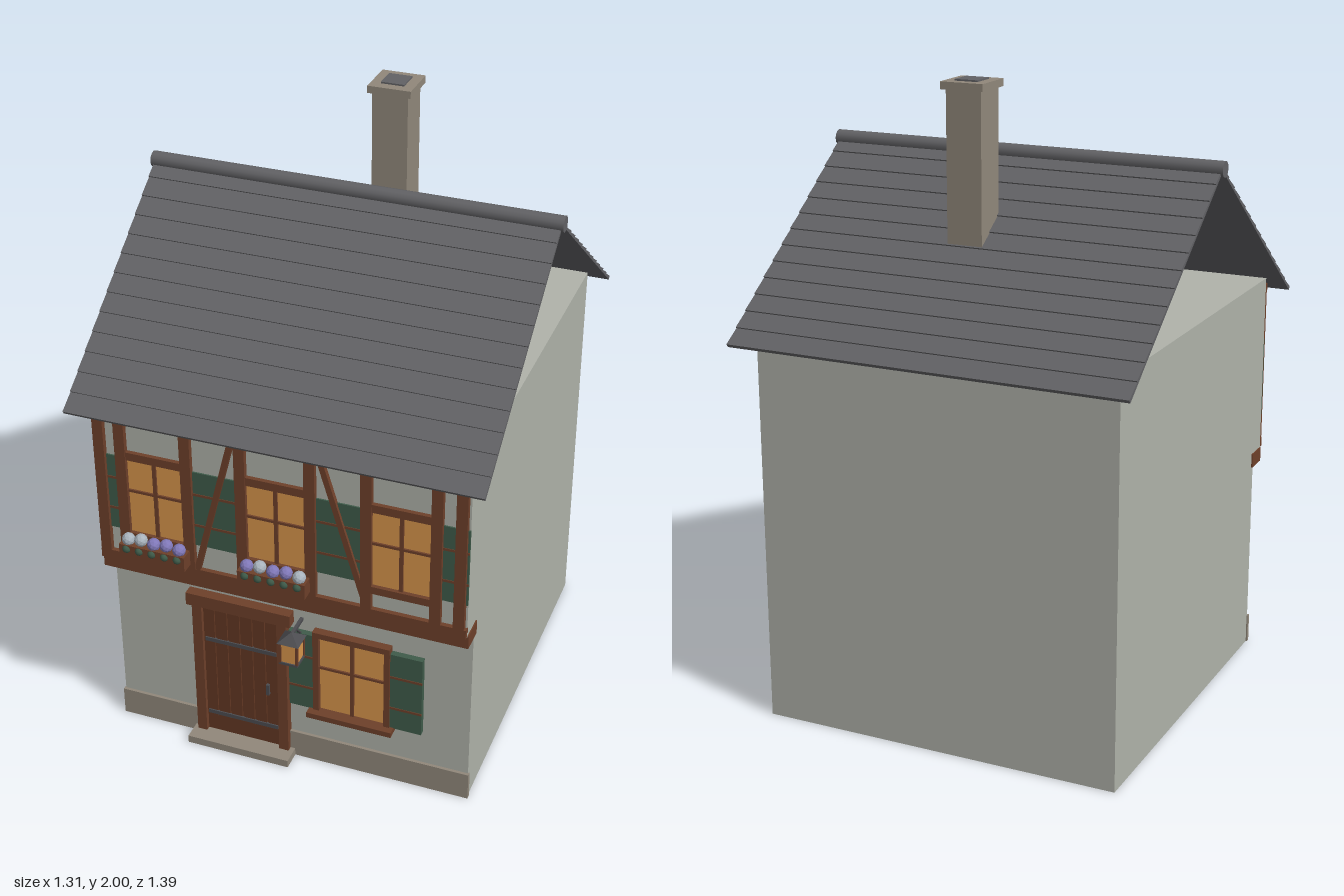
import * as THREE from 'three';

const mat = (name, color, opts = {}) => {
  const m = new THREE.MeshStandardMaterial({ color, ...opts });
  m.name = name;
  return m;
};

export function createModel() {
  const plaster = mat('plaster', 0xb0b3aa);
  const stone = mat('stone', 0x91887b);
  const timber = mat('timber', 0x6e402a);
  const doorWood = mat('door wood', 0x633823);
  const slate = mat('slate', 0x626265);
  const green = mat('shutter green', 0x3f5b4a);
  const glow = mat('lit glass', 0xd8964c);
  const iron = mat('iron', 0x4c4c50);
  const violet = mat('violet petals', 0x8078b8, { flatShading: true });
  const pale = mat('pale petals', 0xa9b3bd, { flatShading: true });

  const house = new THREE.Group();
  house.name = 'house';

  const add = (parent, name, geometry, material) => {
    const mesh = new THREE.Mesh(geometry, material);
    mesh.name = name;
    parent.add(mesh);
    return mesh;
  };
  const group = (name) => {
    const g = new THREE.Group();
    g.name = name;
    house.add(g);
    return g;
  };
  // Box given by its extents
  const box = (parent, name, m, x0, x1, y0, y1, z0, z1) => {
    const mesh = add(parent, name, new THREE.BoxGeometry(x1 - x0, y1 - y0, z1 - z0), m);
    mesh.position.set((x0 + x1) / 2, (y0 + y1) / 2, (z0 + z1) / 2);
    return mesh;
  };
  // Side profile of (z, y) points drawn out along x, centred
  const sideProfile = (points, width) => {
    const shape = new THREE.Shape(points.map(([z, y]) => new THREE.Vector2(z, y)));
    const g = new THREE.ExtrudeGeometry(shape, { depth: width, bevelEnabled: false });
    return g.translate(0, 0, -width / 2).rotateY(-Math.PI / 2);
  };

  const FRONT = 0.55, UPPER = 0.62, HALF = 0.588;

  // Walls with the overhanging upper floor
  add(house, 'walls', sideProfile([[-0.62, 0], [FRONT, 0], [FRONT, 0.68],
    [UPPER, 0.68], [UPPER, 1.27], [-0.62, 1.27]], HALF * 2), plaster);
  box(house, 'plinth', stone, -0.592, 0.592, 0, 0.095, FRONT - 0.005, 0.56);

  // Roof: two slopes with stepped slate courses
  const roof = group('roof');
  const ridge = 1.742, run = 0.692, drop = 0.517, rows = 13;
  const len = Math.hypot(run, drop);
  const onSlope = (s, n) => [s * run + n * drop / len, ridge - s * drop + n * run / len];
  const outline = [onSlope(0, -0.005), onSlope(1, -0.005)];
  for (let i = rows; i > 0; i--) {
    outline.push(onSlope(i / rows, 0.008), onSlope((i - 1) / rows, 0.003));
  }
  const slope = sideProfile(outline, 1.29);
  add(roof, 'frontSlope', slope, slate);
  add(roof, 'backSlope', slope, slate).rotation.y = Math.PI;
  const cap = add(roof, 'ridgeCap', new THREE.CylinderGeometry(0.025, 0.025, 1.306, 12), slate);
  cap.rotation.z = Math.PI / 2;
  cap.position.y = ridge;

  // Chimney
  const chimney = group('chimney');
  box(chimney, 'stack', stone, -0.015, 0.099, 1.27, 1.975, -0.32, -0.206);
  box(chimney, 'chimneyCap', stone, -0.027, 0.111, 1.972, 1.995, -0.333, -0.195);
  box(chimney, 'flue', slate, 0.005, 0.079, 1.993, 2.0, -0.302, -0.227);

  // Timber frame
  const frame = group('timberFrame');
  box(frame, 'jettyBeam', timber, -0.592, 0.592, 0.637, 0.684, 0.535, 0.617);
  box(frame, 'sillBeam', timber, -0.588, 0.588, 0.684, 0.716, 0.615, 0.635);
  box(frame, 'topBeam', timber, -0.588, 0.588, 1.22, 1.25, 0.615, 0.635);
  for (const x of [-0.569, -0.5, -0.288, -0.114, 0.104, 0.278, 0.492, 0.565]) {
    box(frame, 'post', timber, x - 0.017, x + 0.017, 0.716, 1.25, 0.615, 0.637);
  }
  const brace = (x0, x1) => {
    const y0 = 0.716, y1 = 1.22;
    const m = add(frame, 'brace',
      new THREE.BoxGeometry(0.018, Math.hypot(x1 - x0, y1 - y0), 0.016), timber);
    m.position.set((x0 + x1) / 2, (y0 + y1) / 2, 0.627);
    m.rotation.z = -Math.atan2(x1 - x0, y1 - y0);
  };
  brace(-0.265, -0.135);
  brace(0.28, 0.13);

  // Lit panes with a cross of glazing bars
  const panes = (g, x0, x1, y0, y1, crossY, z) => {
    const cx = (x0 + x1) / 2, b = 0.006;
    box(g, 'glass', glow, x0, x1, y0, y1, z - 0.002, z + 0.004);
    box(g, 'mullion', timber, cx - b, cx + b, y0, y1, z, z + 0.01);
    box(g, 'transom', timber, x0, x1, crossY - b * 0.7, crossY + b * 0.7, z, z + 0.01);
  };
  const shutter = (g, x0, x1, y0, y1, z, depth) => {
    box(g, 'shutter', green, x0, x1, y0, y1, z - 0.002, z + depth);
    for (const t of [0.28, 0.7]) {
      const y = y0 + (y1 - y0) * t;
      box(g, 'batten', timber, x0, x1, y - 0.004, y + 0.004, z + depth - 0.002, z + depth + 0.002);
    }
  };

  // Upper windows between the posts
  for (const [x0, x1] of [[-0.483, -0.305], [-0.097, 0.087], [0.295, 0.475]]) {
    const w = group('upperWindow');
    panes(w, x0, x1, 0.8, 1.065, 0.95, UPPER);
    box(w, 'header', timber, x0, x1, 1.061, 1.088, UPPER - 0.005, 0.634);
    box(w, 'sill', timber, x0, x1, 0.775, 0.8, UPPER - 0.005, 0.637);
  }
  const shutters = group('upperShutters');
  for (const [x0, x1] of [[-0.588, -0.517], [-0.271, -0.131], [0.121, 0.261], [0.509, 0.588]]) {
    shutter(shutters, x0, x1, 0.8, 1.062, UPPER, 0.005);
  }

  // Flower boxes: blossoms above, leaves hanging over the front
  const blossom = new THREE.IcosahedronGeometry(0.021, 1);
  const leaf = new THREE.IcosahedronGeometry(0.014, 1);
  const flowerBox = (cx, petals) => {
    const g = group('flowerBox');
    box(g, 'trough', timber, cx - 0.108, cx + 0.108, 0.73, 0.782, 0.63, 0.68);
    petals.forEach((petal, i) => {
      const x = cx + (i - 2) * 0.042;
      add(g, 'blossom', blossom, petal).position.set(x, 0.793 + (i % 2) * 0.006, 0.66);
      add(g, 'leaf', leaf, green).position.set(x, 0.768, 0.676);
    });
  };
  flowerBox(-0.394, [pale, pale, violet, violet, violet]);
  flowerBox(-0.005, [violet, pale, violet, violet, pale]);

  // Door
  const door = group('door');
  const d0 = -0.288, d1 = -0.034, n = 6, pw = (d1 - d0) / n;
  box(door, 'doorBack', doorWood, d0, d1, 0.025, 0.53, FRONT - 0.005, 0.562);
  for (let i = 0; i < n; i++) {
    const x = d0 + i * pw;
    box(door, 'plank', doorWood, x + 0.003, x + pw - 0.003, 0.09, 0.525, 0.56, 0.568);
  }
  for (const y of [0.4, 0.105]) {
    box(door, 'strapHinge', iron, -0.28, -0.04, y - 0.007, y + 0.007, 0.565, 0.572);
  }
  box(door, 'handle', iron, -0.075, -0.065, 0.235, 0.275, 0.565, 0.578);
  box(door, 'leftJamb', timber, -0.035, -0.003, 0.025, 0.535, FRONT - 0.005, 0.578);
  box(door, 'rightJamb', timber, -0.319, -0.287, 0.025, 0.535, FRONT - 0.005, 0.578);
  box(door, 'lintel', timber, -0.335, 0.013, 0.53, 0.574, FRONT - 0.005, 0.585);
  box(door, 'step', stone, -0.333, 0.013, 0, 0.026, FRONT, 0.625);

  // Ground floor window
  const low = group('lowerWindow');
  panes(low, 0.1, 0.318, 0.22, 0.51, 0.387, 0.556);
  box(low, 'leftFrame', timber, 0.316, 0.335, 0.22, 0.528, FRONT - 0.005, 0.575);
  box(low, 'rightFrame', timber, 0.083, 0.102, 0.22, 0.528, FRONT - 0.005, 0.575);
  box(low, 'header', timber, 0.083, 0.335, 0.508, 0.528, FRONT - 0.005, 0.577);
  box(low, 'sill', timber, 0.068, 0.348, 0.203, 0.222, FRONT - 0.005, 0.597);
  shutter(low, 0.002, 0.083, 0.22, 0.508, FRONT, 0.02);
  shutter(low, 0.335, 0.438, 0.22, 0.508, FRONT, 0.02);

  // Hanging lantern on a wall bracket
  const lamp = group('lantern');
  const lx = 0.04, lz = 0.635;
  box(lamp, 'lampGlass', glow, lx - 0.027, lx + 0.027, 0.46, 0.532, lz - 0.027, lz + 0.027);
  box(lamp, 'lampBase', iron, lx - 0.031, lx + 0.031, 0.453, 0.461, lz - 0.031, lz + 0.031);
  for (const sx of [-1, 1]) for (const sz of [-1, 1]) {
    const x = lx + sx * 0.027, z = lz + sz * 0.027;
    box(lamp, 'lampCorner', timber, x - 0.004, x + 0.004, 0.458, 0.535, z - 0.004, z + 0.004);
  }
  const hood = add(lamp, 'lampHood', new THREE.ConeGeometry(0.05, 0.028, 4)
    .rotateY(Math.PI / 4).toNonIndexed(), iron);
  hood.geometry.computeVertexNormals();
  hood.position.set(lx, 0.546, lz);
  box(lamp, 'bracketArm', iron, lx - 0.005, lx + 0.005, 0.545, 0.555, FRONT, lz);
  const strut = new THREE.LineCurve3(new THREE.Vector3(lx, 0.49, FRONT),
    new THREE.Vector3(lx, 0.548, 0.602));
  add(lamp, 'bracketStrut', new THREE.TubeGeometry(strut, 1, 0.004, 6), iron);

  return house;
}
